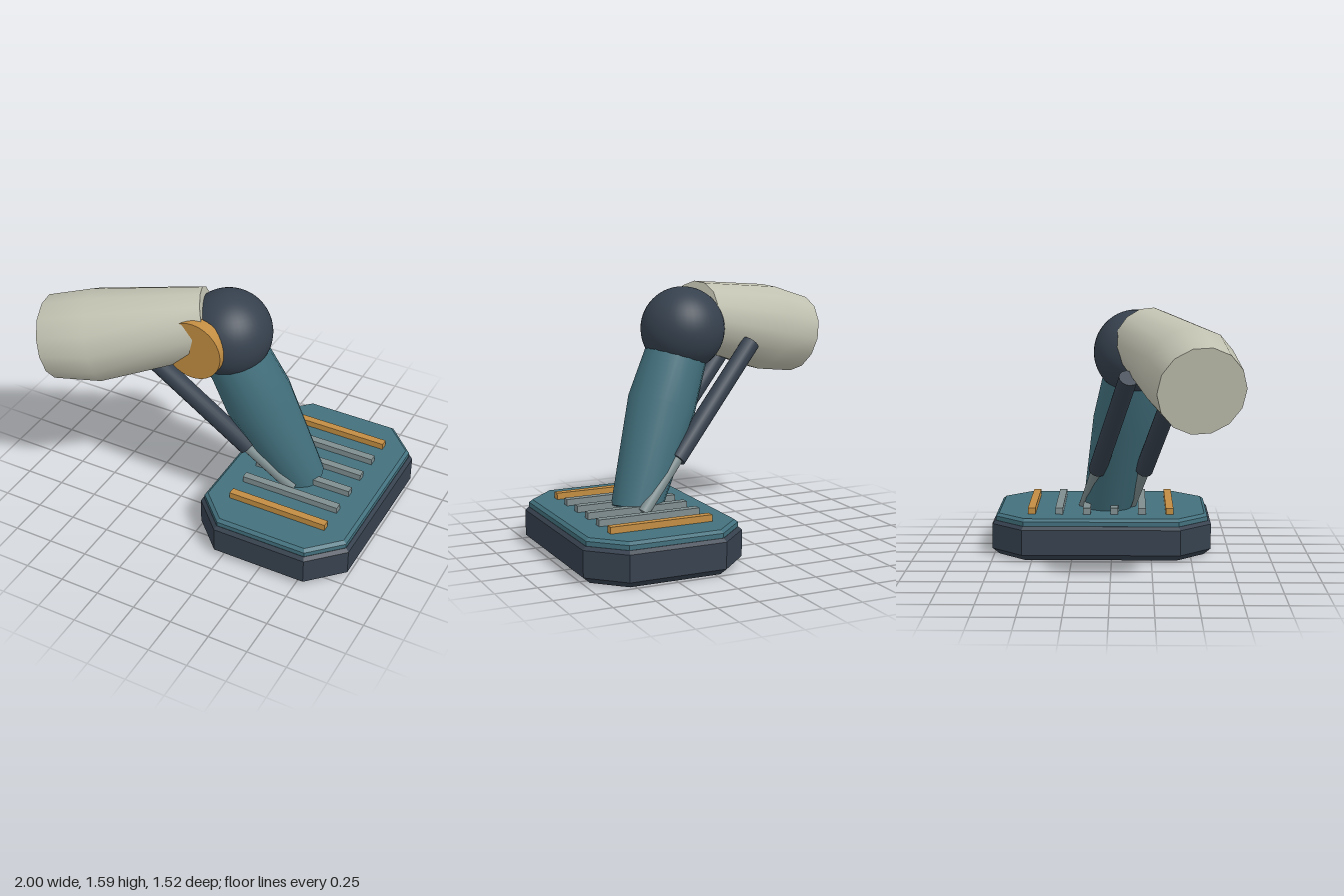
import * as THREE from 'three';

const paint = (name, color) => {
  const m = new THREE.MeshStandardMaterial({ color });
  m.name = name;
  return m;
};
const V = (x, y, z) => new THREE.Vector3(x, y, z);

// Skin a stack of point rings and close both ends with caps
function skin(rings, flat) {
  const n = rings[0].length, pos = [], idx = [];
  rings.forEach(r => r.forEach(p => pos.push(p.x, p.y, p.z)));
  for (let i = 0; i < rings.length - 1; i++) {
    for (let j = 0; j < n; j++) {
      const k = (j + 1) % n, a = i * n + j, b = i * n + k;
      idx.push(a, b, a + n, b, b + n, a + n);
    }
  }
  [rings[0], rings[rings.length - 1]].forEach((ring, end) => {
    const base = pos.length / 3;
    ring.forEach(p => pos.push(p.x, p.y, p.z));
    for (let j = 1; j < n - 1; j++) {
      if (end) idx.push(base, base + j, base + j + 1);
      else idx.push(base, base + j + 1, base + j);
    }
  });
  let g = new THREE.BufferGeometry();
  g.setAttribute('position', new THREE.Float32BufferAttribute(pos, 3));
  g.setIndex(idx);
  if (flat) g = g.toNonIndexed();
  g.computeVertexNormals();
  return g;
}

// Round limb through centres with a radius at each, rings square to the path
function limb(stations, sides) {
  const c = stations.map(s => V(s[0], s[1], s[2]));
  const dir = i => c[i + 1].clone().sub(c[i]).normalize();
  const last = c.length - 1;
  return skin(c.map((p, i) => {
    const t = dir(Math.min(i, last - 1)).add(dir(Math.max(i - 1, 0))).normalize();
    const u = V(0, 0, 1).addScaledVector(t, -t.z).normalize();
    const v = t.clone().cross(u);
    return Array.from({ length: sides }, (_, j) => {
      const a = (j / sides) * Math.PI * 2, r = stations[i][3];
      return p.clone().addScaledVector(u, r * Math.cos(a)).addScaledVector(v, r * Math.sin(a));
    });
  }));
}

// Chamfered rectangular slab from [inset, height] levels
function slab(levels) {
  return skin(levels.map(([inset, y]) => {
    const w = 0.5 - inset, d = 0.695 - inset, k = 0.2 - 0.586 * inset;
    return [[w - k, d], [w, d - k], [w, k - d], [w - k, -d], [k - w, -d], [-w, k - d], [-w, d - k], [k - w, d]]
      .map(([x, z]) => V(0.5 + x, y, -0.065 + z));
  }), true);
}

export function createModel() {
  const model = new THREE.Group();
  model.name = 'mechanicalArm';
  const teal = paint('teal', 0x42707d);
  const dark = paint('darkSlate', 0x36414e);
  const cream = paint('cream', 0xc2c2b2);
  const orange = paint('orange', 0xc28d42);
  const steel = paint('steel', 0x7f8e90);

  const add = (name, geometry, material, parent = model) => {
    const m = new THREE.Mesh(geometry, material);
    m.name = name;
    parent.add(m);
    return m;
  };

  // Foot block and deck
  add('footBlock', slab([[0.045, 0], [0, 0.04], [0, 0.2], [0.02, 0.22]]), dark);
  add('deck', slab([[0.022, 0.215], [0.022, 0.248], [0.042, 0.265]]), teal);

  // Tread bars, the outer two orange
  for (let i = 0; i < 6; i++) {
    const bar = add('treadBar', new THREE.BoxGeometry(0.64, 0.05, 0.048), i % 5 ? steel : orange);
    bar.position.set(0.5, 0.28, 0.367 - i * 0.175);
  }

  // Lower limb, joint ball and upper limb
  add('lowerLimb', limb([[0.46, 0.24, -0.04, 0.152], [0.22, 0.86, 0.095, 0.212], [0.08, 1.2, 0.15, 0.19]], 16), teal);
  add('jointBall', new THREE.SphereGeometry(0.26, 40, 28), dark).position.set(0.05, 1.31, 0.152);
  add('upperLimb', limb([[-0.93, 1.185, 0.51, 0.255], [-0.65, 1.25, 0.455, 0.28], [-0.05, 1.39, 0.215, 0.207]], 14), cream);

  // Round cap on the joint
  const cap = add('jointCap', new THREE.CylinderGeometry(0.185, 0.185, 0.078, 36), orange);
  cap.rotation.x = Math.PI / 2;
  cap.position.set(-0.04, 1.315, 0.399);

  // Pistons on both sides of the limb
  [['frontPiston', 0], ['backPiston', -0.295]].forEach(([name, z]) => {
    const piston = new THREE.Group();
    piston.name = name;
    piston.position.z = z;
    model.add(piston);
    add('sleeve', limb([[0.205, 0.55, 0.205, 0.057], [-0.4, 1.2, 0.4, 0.057]], 14), dark, piston);
    add('rod', limb([[0.47, 0.265, 0.115, 0.038], [0.19, 0.566, 0.21, 0.038]], 14), steel, piston);
  });

  return model;
}
